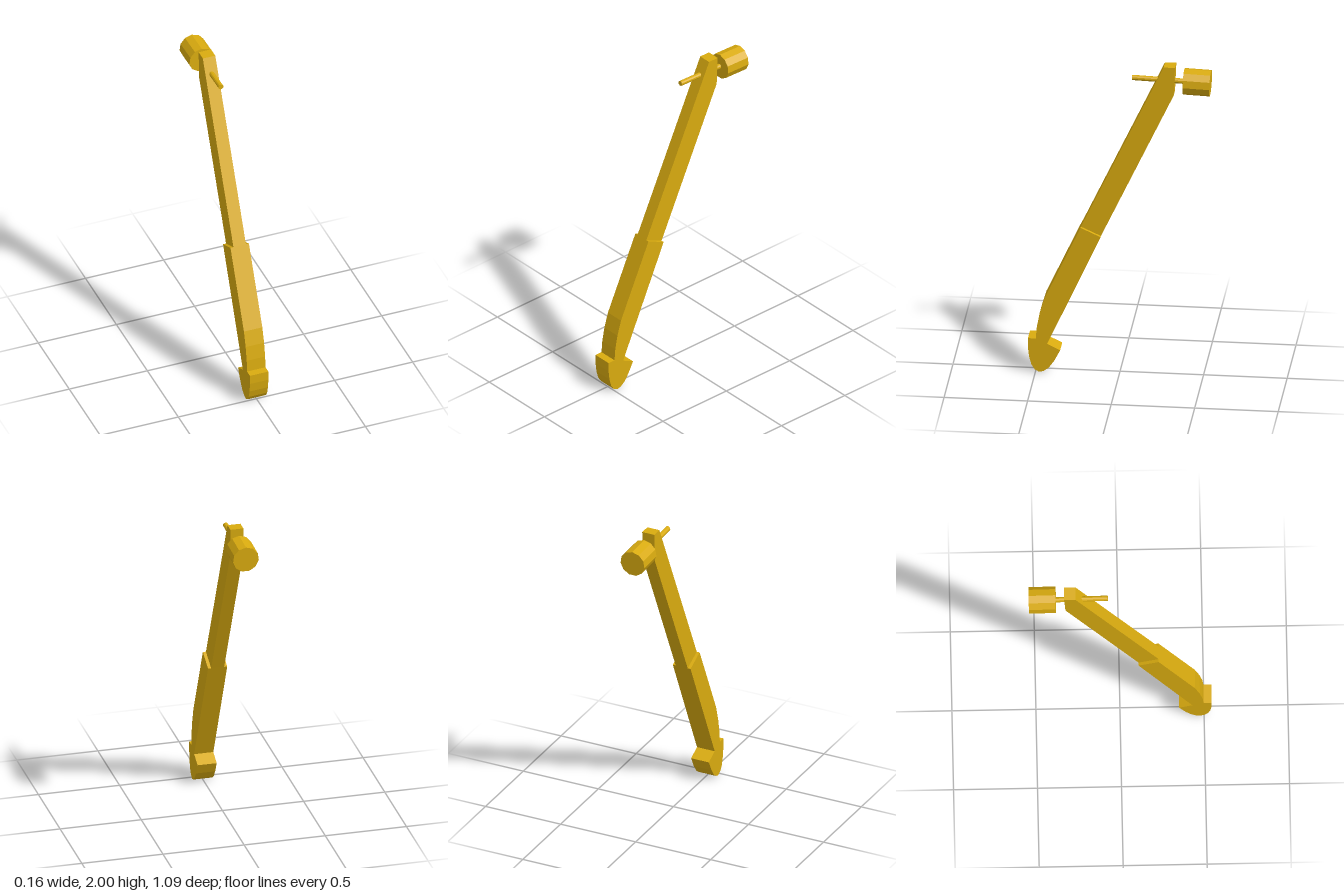
import * as THREE from 'three';

const gold = new THREE.MeshStandardMaterial({ color: 0xd9ab0f, flatShading: true });
gold.name = 'gold';

// Extrudes a side profile of [z, y] points across x, centred on x = 0
function slab(name, points, width) {
  const shape = new THREE.Shape(points.map(([z, y]) => new THREE.Vector2(z, y)));
  const geo = new THREE.ExtrudeGeometry(shape, { depth: width, bevelEnabled: false });
  geo.translate(0, 0, -width / 2);
  geo.rotateY(-Math.PI / 2);
  const mesh = new THREE.Mesh(geo, gold);
  mesh.name = name;
  return mesh;
}

// Faceted rod on the slightly tilted pivot axis, between two z positions
const SLOPE = 0.034;
function rod(name, radius, zFront, zBack) {
  const geo = new THREE.CylinderGeometry(radius, radius, zFront - zBack, 11);
  geo.rotateX(-Math.PI / 2 - SLOPE);
  const mesh = new THREE.Mesh(geo, gold);
  const z = (zFront + zBack) / 2;
  mesh.position.set(0, 1.897 + (z + 0.46) * SLOPE, z);
  mesh.name = name;
  return mesh;
}

export function createModel() {
  const group = new THREE.Group();
  group.name = 'leverArm';

  // Narrow upper arm with a clipped top
  group.add(slab('upperArm', [
    [-0.265, 2], [0.23, 0.945], [0.11, 0.89], [-0.325, 1.82], [-0.333, 2],
  ], 0.08));

  // Wider lower arm, curving down into the barbed foot
  group.add(slab('lowerArmAndFoot', [
    [0.23, 0.945], [0.447, 0.475], [0.475, 0.38], [0.492, 0.29], [0.498, 0.215],
    [0.545, 0.215], [0.545, 0.155], [0.538, 0.095], [0.524, 0.045], [0.505, 0.015],
    [0.478, 0], [0.45, 0.007], [0.42, 0.03], [0.388, 0.075], [0.352, 0.145],
    [0.43, 0.183], [0.11, 0.89],
  ], 0.118));

  // Pivot pin through the arm, with a round weight behind
  group.add(rod('pivotPin', 0.016, -0.072, -0.39));
  group.add(rod('pivotWeight', 0.08, -0.382, -0.542));

  return group;
}
